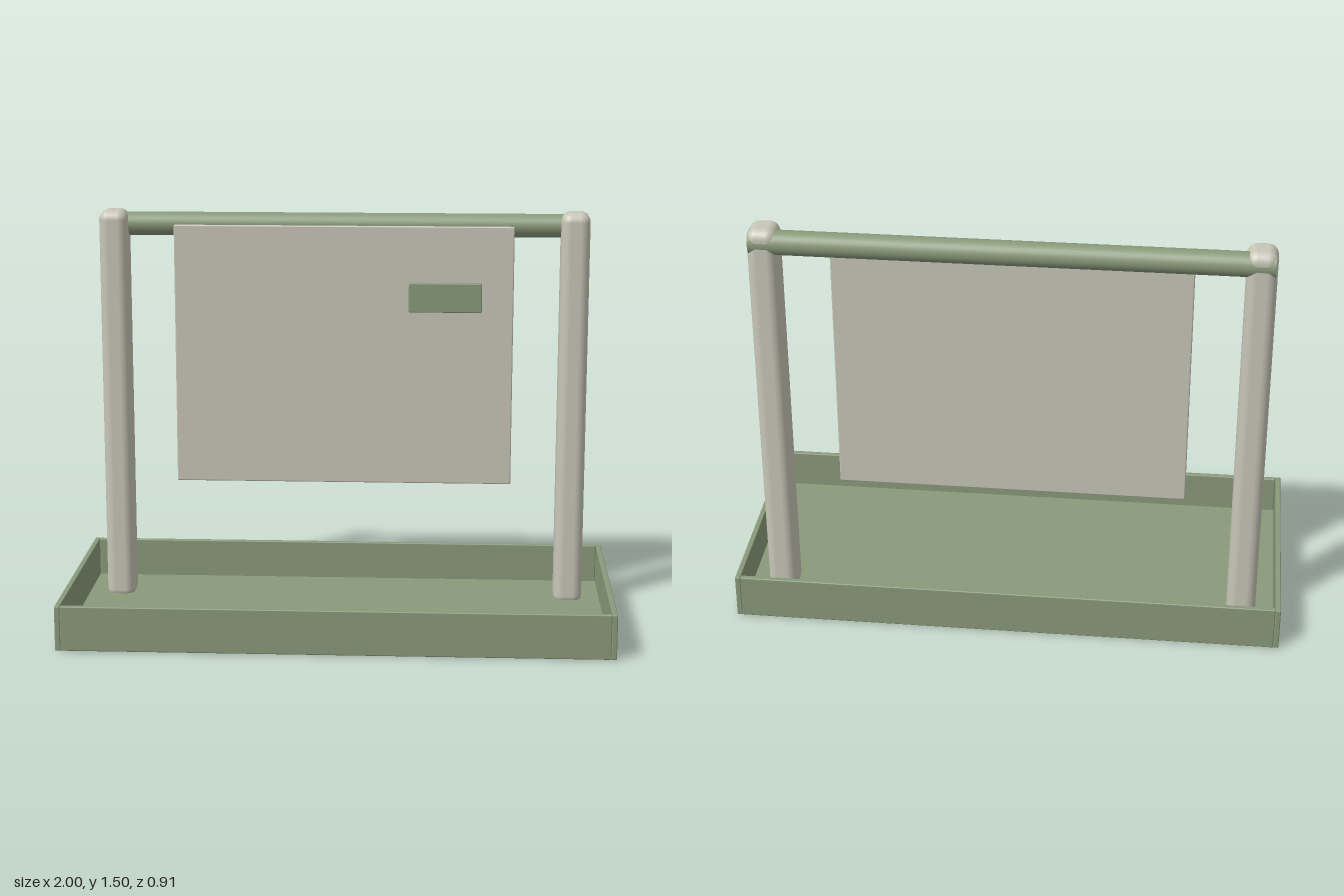
import * as THREE from 'three';
import { RoundedBoxGeometry } from 'three/addons/geometries/RoundedBoxGeometry.js';

export function createModel() {
  const model = new THREE.Group();
  model.name = 'trayWithHangingPanel';

  const sage = new THREE.MeshStandardMaterial({ color: 0x8a9a7b });
  sage.name = 'sage green';
  const stone = new THREE.MeshStandardMaterial({ color: 0xc8c6b8 });
  stone.name = 'warm stone';

  // Rounded box given by its size and centre
  function box(name, material, size, centre, radius, segments = 2, parent = model) {
    const mesh = new THREE.Mesh(new RoundedBoxGeometry(...size, segments, radius), material);
    mesh.name = name;
    mesh.position.set(...centre);
    parent.add(mesh);
    return mesh;
  }

  // Open tray: floor, long walls between the two end walls
  const tray = new THREE.Group();
  tray.name = 'tray';
  model.add(tray);
  const W = 2, D = 0.91, H = 0.165, T = 0.02;
  box('trayFloor', sage, [W - 0.004, T, D - 0.004], [0, T / 2 + 0.001, 0], 0.003, 2, tray);
  for (const side of [-1, 1]) {
    const end = side > 0 ? 'left' : 'right';
    const face = side > 0 ? 'front' : 'back';
    box(face + 'Wall', sage, [W - 2 * T, H, T], [0, H / 2, side * (D - T) / 2], 0.004, 2, tray);
    box(end + 'Wall', sage, [T, H, D], [side * (W - T) / 2, H / 2, 0], 0.004, 2, tray);
    // Upright post, reaching down through the floor
    box(end + 'Post', stone, [0.107, 1.502, 0.125], [side * 0.859, 0.751, -0.237], 0.036, 5);
  }

  // Crossbar set towards the back of the posts
  const bar = new THREE.Mesh(new THREE.CylinderGeometry(0.044, 0.044, 1.81, 32), sage);
  bar.name = 'crossbar';
  bar.rotation.z = Math.PI / 2;
  bar.position.set(0, 1.447, -0.257);
  model.add(bar);

  // Hanging panel with a small tag on its front
  box('panel', stone, [1.268, 0.98, 0.022], [0, 0.958, -0.214], 0.005);
  box('tag', sage, [0.272, 0.11, 0.022], [0.38, 1.184, -0.189], 0.004);

  return model;
}
